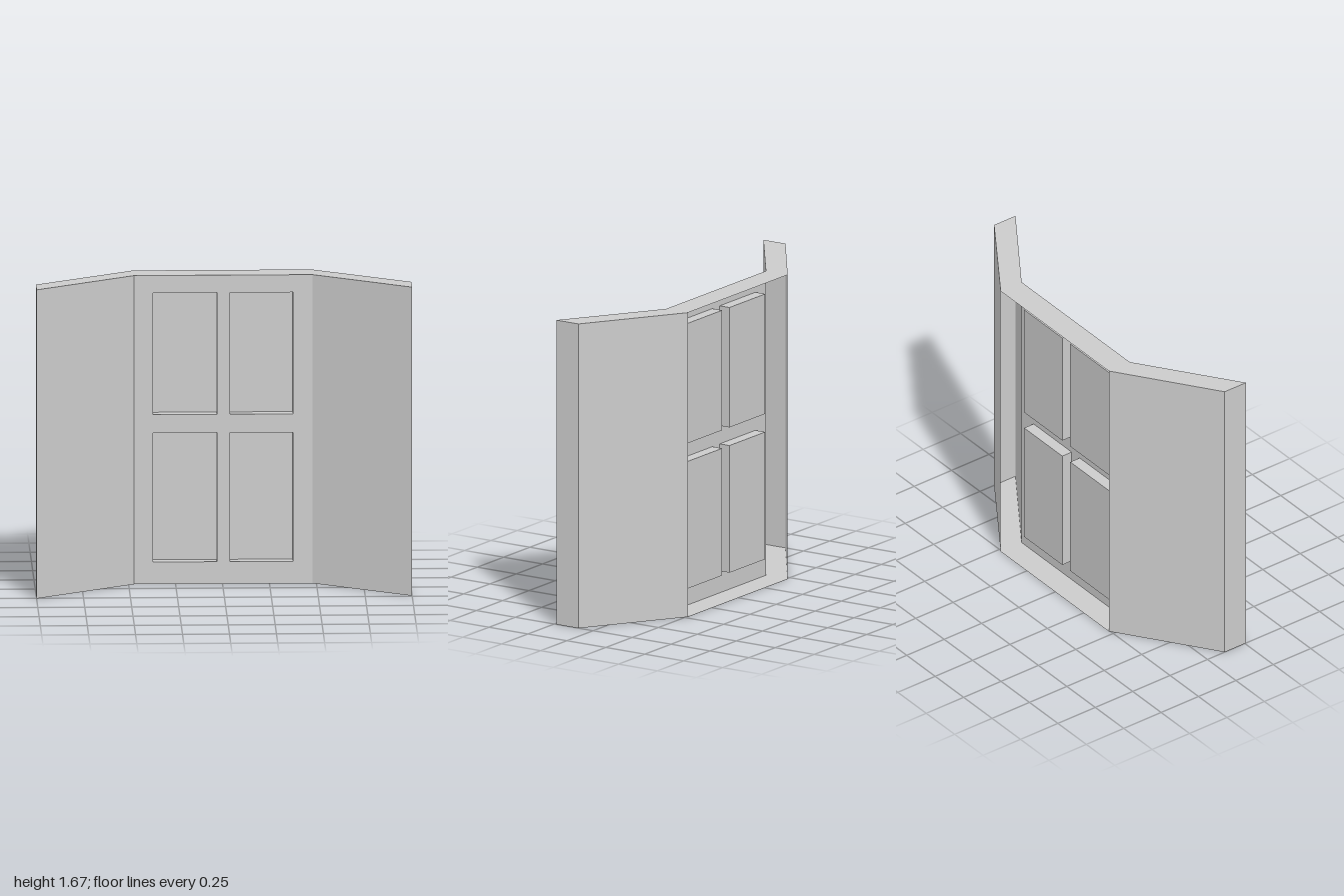
import * as THREE from 'three';

const H = 1.675;          // wall height
const FRONT_Z = -0.117;   // middle panel plane
const DEPTH = 0.063;      // pocket depth behind the middle panel

// Plan outlines, [x, z], from the right-hand end to the left-hand end
const front = [[-1, 0.257], [-0.47, FRONT_Z], [0.48, FRONT_Z], [1, 0.237]];
const back = [[-1, 0.115], [-0.47, -0.257], [0.48, -0.257], [1, 0.094]];

const material = new THREE.MeshStandardMaterial({ color: 0xcccccc, side: THREE.DoubleSide });

function addMesh(parent, name, geometry) {
  const mesh = new THREE.Mesh(geometry, material);
  mesh.name = name;
  parent.add(mesh);
  return mesh;
}

// Flat four-cornered face, corners counter-clockwise seen from its front
function quad(a, b, c, d) {
  const geometry = new THREE.BufferGeometry();
  geometry.setAttribute('position', new THREE.Float32BufferAttribute([a, b, c, a, c, d].flat(), 3));
  geometry.computeVertexNormals();
  return geometry;
}

// Full-height upright face; its front is on the right of the walk from p to q as seen from above
function upright([px, pz], [qx, qz]) {
  return quad([px, 0, pz], [qx, 0, qz], [qx, H, qz], [px, H, pz]);
}

function rectPath(path, x0, x1, y0, y1) {
  path.moveTo(x0, y0);
  path.lineTo(x1, y0);
  path.lineTo(x1, y1);
  path.lineTo(x0, y1);
  path.closePath();
  return path;
}

export function createModel() {
  const group = new THREE.Group();
  group.name = 'foldedWall';

  // Hollow angled wings
  [['rightWing', 0, 1], ['leftWing', 2, 3]].forEach(([name, i, j]) => {
    const wing = new THREE.Group();
    wing.name = name;
    group.add(wing);
    addMesh(wing, name + 'Front', upright(front[i], front[j]));
    addMesh(wing, name + 'Back', upright(back[j], back[i]));
    const end = i === 0 ? upright(back[0], front[0]) : upright(front[3], back[3]);
    addMesh(wing, name + 'End', end);
  });

  // Top and bottom caps follow the plan outline
  const outline = [...front, ...back.slice().reverse()];
  const capShape = sign => new THREE.Shape(outline.map(([x, z]) => new THREE.Vector2(x, sign * z)));
  addMesh(group, 'topCap', new THREE.ShapeGeometry(capShape(-1)).rotateX(-Math.PI / 2).translate(0, H, 0));
  addMesh(group, 'bottomCap', new THREE.ShapeGeometry(capShape(1)).rotateX(Math.PI / 2));

  // Middle panel, open behind, with four recessed pockets
  const panel = rectPath(new THREE.Shape(), front[1][0], front[2][0], 0, H);
  for (const [x0, x1] of [[-0.37, -0.03], [0.04, 0.375]]) {
    for (const [y0, y1] of [[0.12, 0.82], [0.92, 1.58]]) {
      panel.holes.push(rectPath(new THREE.Path(), x0, x1, y0, y1));
      const pocket = new THREE.Group();
      pocket.name = 'pocket';
      group.add(pocket);
      const corners = [[x0, y0], [x1, y0], [x1, y1], [x0, y1]];
      const f = corners.map(c => [...c, FRONT_Z]);
      const b = corners.map(c => [...c, FRONT_Z - DEPTH]);
      addMesh(pocket, 'pocketBack', quad(...b));
      for (let i = 0; i < 4; i++) {
        const j = (i + 1) % 4;
        addMesh(pocket, 'pocketSide', quad(f[i], f[j], b[j], b[i]));
      }
    }
  }
  addMesh(group, 'middlePanel', new THREE.ShapeGeometry(panel).translate(0, 0, FRONT_Z));

  return group;
}
